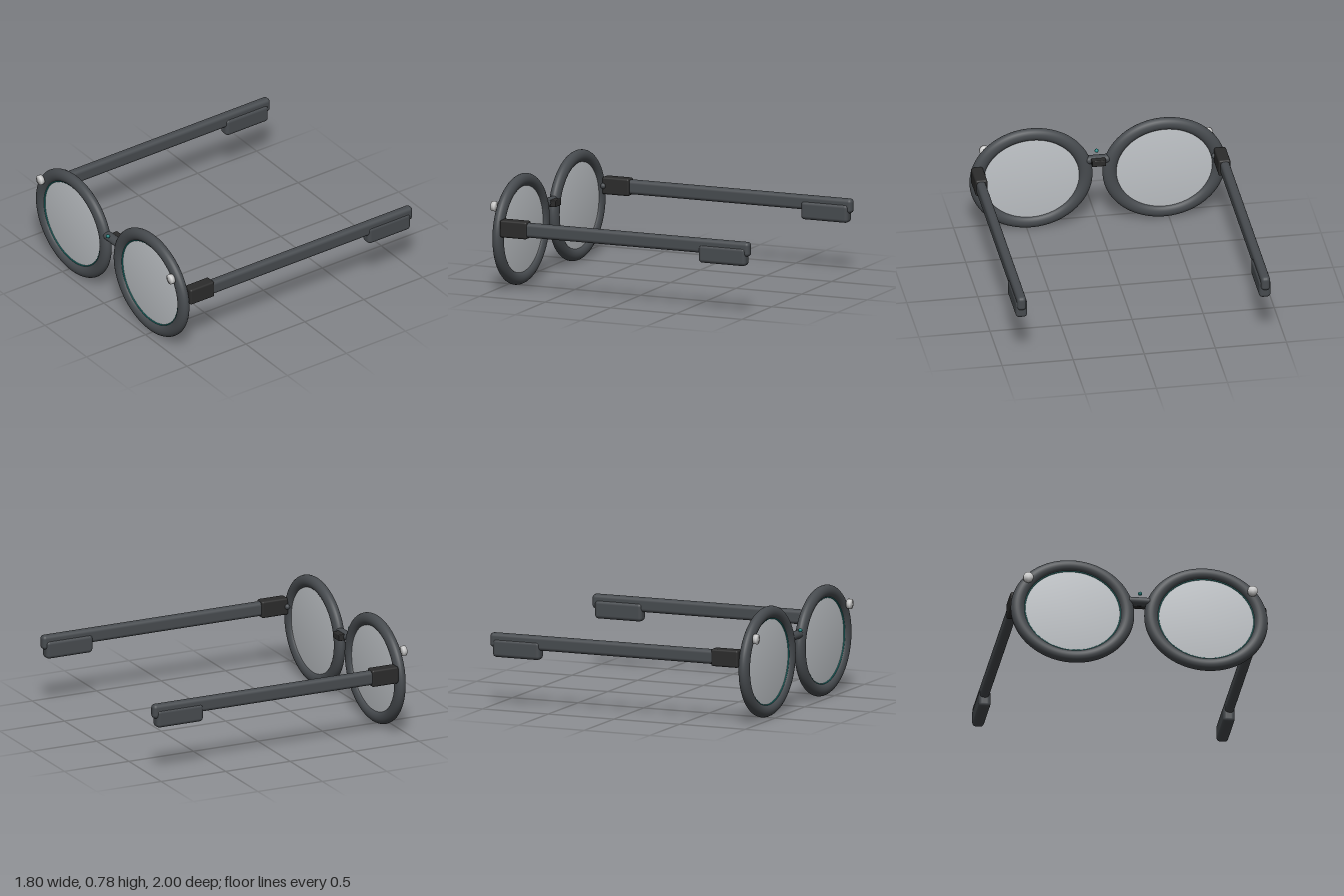
import * as THREE from 'three';
import { mergeVertices } from 'three/addons/utils/BufferGeometryUtils.js';
import { RoundedBoxGeometry } from 'three/addons/geometries/RoundedBoxGeometry.js';

const material = (name, color) => Object.assign(new THREE.MeshStandardMaterial({ color }), { name });

// Weld a geometry so its shading runs smoothly over every edge
function soften(geometry) {
  geometry.deleteAttribute('uv');
  geometry.deleteAttribute('normal');
  const welded = mergeVertices(geometry, 1e-4);
  welded.computeVertexNormals();
  return welded;
}

// Disc facing +z with softly shaded edges
const softDisc = (radius, depth, sides) =>
  soften(new THREE.CylinderGeometry(radius, radius, depth, sides).rotateX(Math.PI / 2));

export function createModel() {
  const frame = material('frame charcoal', 0x474b4f);
  const hinge = material('hinge black', 0x2b2b2b);
  const lens = material('lens silver', 0xc0c4c8);
  const rivet = material('rivet silver', 0xd2d2d2);
  const teal = material('teal accent', 0x1f7f7c);

  const group = new THREE.Group();
  group.name = 'glasses';
  const add = (name, geometry, mat, x, y, z) => {
    const mesh = new THREE.Mesh(geometry, mat);
    mesh.name = name;
    mesh.position.set(x, y, z);
    group.add(mesh);
    return mesh;
  };

  // Shared geometry
  const rimGeo = new THREE.TorusGeometry(0.384, 0.049, 24, 96).scale(1, 0.896, 0.76);
  const accentGeo = new THREE.TorusGeometry(0.336, 0.005, 8, 96).scale(1, 0.898, 1);
  const lensGeo = softDisc(0.337, 0.02, 64).scale(1, 0.898, 1);
  const rivetGeo = softDisc(0.035, 0.027, 32);
  const hingeGeo = new RoundedBoxGeometry(0.084, 0.122, 0.205, 3, 0.014);
  const armGeo = new RoundedBoxGeometry(0.064, 0.102, 1.8, 4, 0.026);
  const tipGeo = new RoundedBoxGeometry(0.082, 0.13, 0.36, 4, 0.026);
  const screwGeo = new THREE.SphereGeometry(0.02, 16, 12);

  for (const [side, s] of [['left', 1], ['right', -1]]) {
    // Rim, lens and accent line
    add(side + 'Rim', rimGeo, frame, s * 0.468, 0.388, 0.926);
    add(side + 'Lens', lensGeo, lens, s * 0.468, 0.388, 0.922);
    add(side + 'LensAccent', accentGeo, teal, s * 0.468, 0.388, 0.937);
    add(side + 'Rivet', rivetGeo, rivet, s * 0.786, 0.6, 0.986);
    // Temple arm
    add(side + 'Hinge', hingeGeo, hinge, s * 0.855, 0.467, 0.793);
    add(side + 'HingeScrew', screwGeo, frame, s * 0.815, 0.465, 0.885);
    add(side + 'Arm', armGeo, frame, s * 0.858, 0.468, -0.1);
    add(side + 'ArmTip', tipGeo, frame, s * 0.856, 0.415, -0.796);
  }

  // Bridge between the rims
  const bridgeGeo = new THREE.CapsuleGeometry(0.03, 0.13, 8, 24).rotateZ(Math.PI / 2).scale(1, 1, 1.12);
  add('bridge', bridgeGeo, frame, 0, 0.496, 0.923);
  add('bridgePad', new RoundedBoxGeometry(0.1, 0.046, 0.05, 2, 0.006), hinge, 0, 0.493, 0.879);
  add('bridgeBead', new THREE.SphereGeometry(0.014, 16, 12), teal, 0, 0.537, 0.966);

  return group;
}
